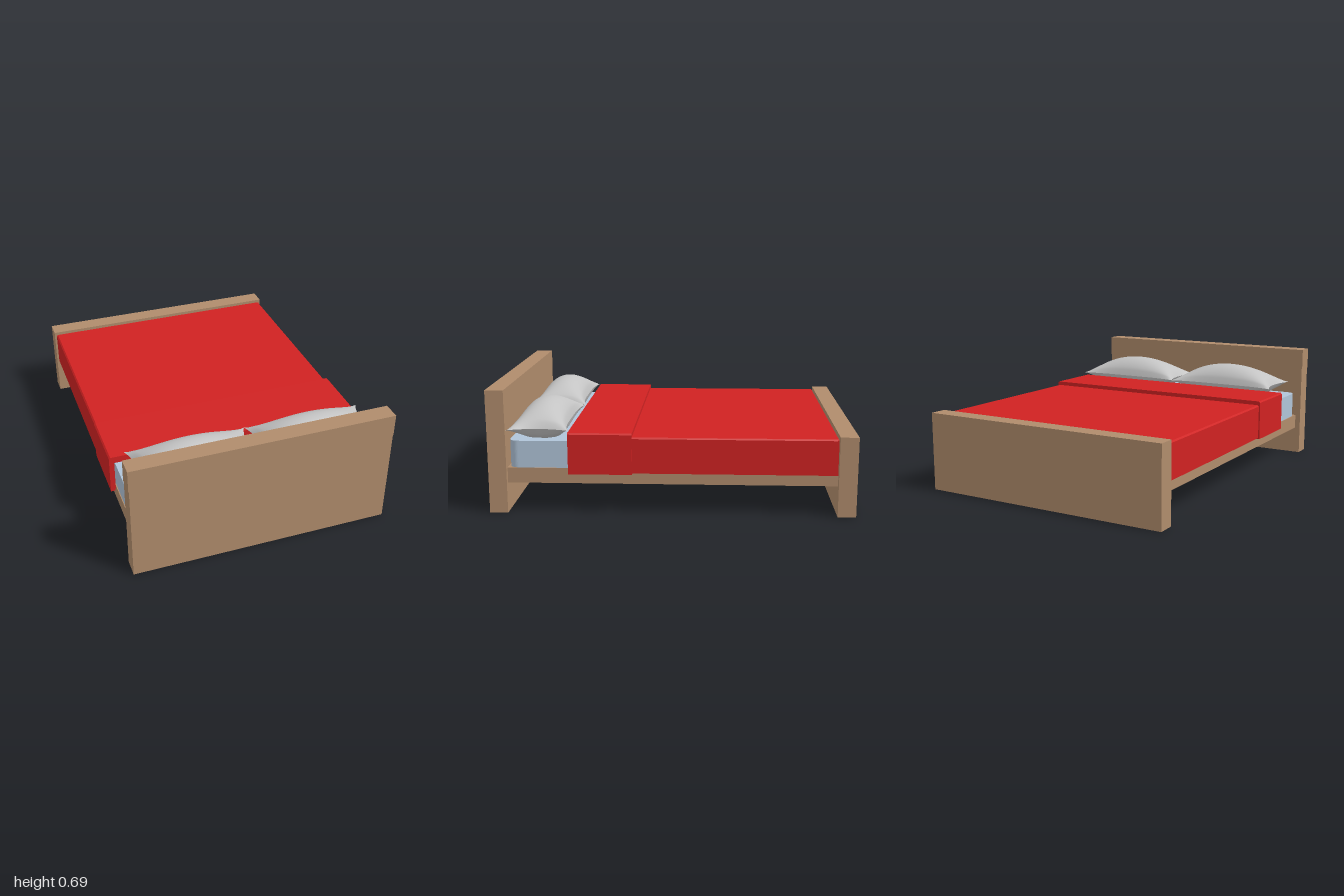
import * as THREE from 'three';
import { mergeGeometries } from 'three/addons/utils/BufferGeometryUtils.js';

const material = (name, color) => Object.assign(new THREE.MeshStandardMaterial({ color }), { name });

export function createModel() {
  const bed = new THREE.Group();
  bed.name = 'doubleBed';
  const wood = material('wood', 0xb08c6c);
  const red = material('redBlanket', 0xd02222);
  const sheet = material('paleBlueSheet', 0xb0c4d8);
  const linen = material('greyLinen', 0xc4c4c4);

  const add = (name, geometry, mat) => {
    const mesh = new THREE.Mesh(geometry, mat);
    mesh.name = name;
    bed.add(mesh);
    return mesh;
  };
  // Box given by its lower and upper corners
  const box = (name, [x0, y0, z0], [x1, y1, z1], mat) => {
    add(name, new THREE.BoxGeometry(x1 - x0, y1 - y0, z1 - z0), mat)
      .position.set((x0 + x1) / 2, (y0 + y1) / 2, (z0 + z1) / 2);
  };

  // Wooden frame
  box('headboardPanel', [-0.742, 0, 0.9], [0.726, 0.56, 1], wood);
  box('headboardRail', [-0.745, 0.56, 0.9], [0.729, 0.685, 1], wood);
  box('footboard', [-0.745, 0, -1], [0.729, 0.445, -0.9], wood);
  box('bedBase', [-0.71, 0.165, -0.9], [0.695, 0.25, 0.9], wood);

  // Mattress with rounded upright corners
  const [mx0, mx1, mz0, mz1, r] = [-0.705, 0.69, -0.885, 0.89, 0.05];
  const outline = new THREE.Shape()
    .absarc(mx1 - r, -mz0 - r, r, 0, Math.PI / 2)
    .absarc(mx0 + r, -mz0 - r, r, Math.PI / 2, Math.PI)
    .absarc(mx0 + r, -mz1 + r, r, Math.PI, Math.PI * 1.5)
    .absarc(mx1 - r, -mz1 + r, r, Math.PI * 1.5, Math.PI * 2);
  const mattress = new THREE.ExtrudeGeometry(outline, { depth: 0.15, bevelEnabled: false, curveSegments: 6 });
  add('mattress', mattress.rotateX(-Math.PI / 2), sheet).position.y = 0.25;

  // Cloth draped over the mattress: an upside-down U run along z
  const drape = (name, x0, x1, y0, y1, z0, z1, t) => {
    const c = 0.008;
    const section = new THREE.Shape([
      [x0, y0], [x0 + t, y0], [x0 + t, y1 - t], [x1 - t, y1 - t], [x1 - t, y0], [x1, y0],
      [x1, y1 - c], [x1 - c, y1], [x0 + c, y1], [x0, y1 - c],
    ].map(([x, y]) => new THREE.Vector2(x, y)));
    add(name, new THREE.ExtrudeGeometry(section, { depth: z1 - z0, bevelEnabled: false }), red).position.z = z0;
  };
  drape('blanket', -0.733, 0.717, 0.23, 0.43, -0.893, 0.555, 0.022);
  drape('blanketFold', -0.741, 0.725, 0.224, 0.453, 0.215, 0.563, 0.025);
  box('blanketFootEnd', [-0.733, 0.23, -0.896], [0.717, 0.425, -0.886], red);

  // Pillow half: a grid pinched in at the sides and puffed up or down
  const pillowHalf = (side, puff) => {
    const g = new THREE.PlaneGeometry(2, 2, 32, 24).rotateX(-side * Math.PI / 2);
    const p = g.attributes.position;
    for (let i = 0; i < p.count; i++) {
      const u = p.getX(i), v = p.getZ(i);
      const dome = Math.pow(Math.max(0, (1 - u * u) * (1 - v * v)), 0.6);
      p.setXYZ(i,
        0.348 * u * (1 - 0.11 * (1 - v * v)),
        Math.max(side * puff * dome, -0.068),
        0.168 * v * (1 - 0.18 * (1 - u ** 4)));
    }
    g.computeVertexNormals();
    return g;
  };
  const pillow = mergeGeometries([pillowHalf(1, 0.115), pillowHalf(-1, 0.115)]);
  add('rightPillow', pillow, linen).position.set(-0.307, 0.469, 0.724);
  add('leftPillow', pillow, linen).position.set(0.389, 0.469, 0.724);

  return bed;
}
